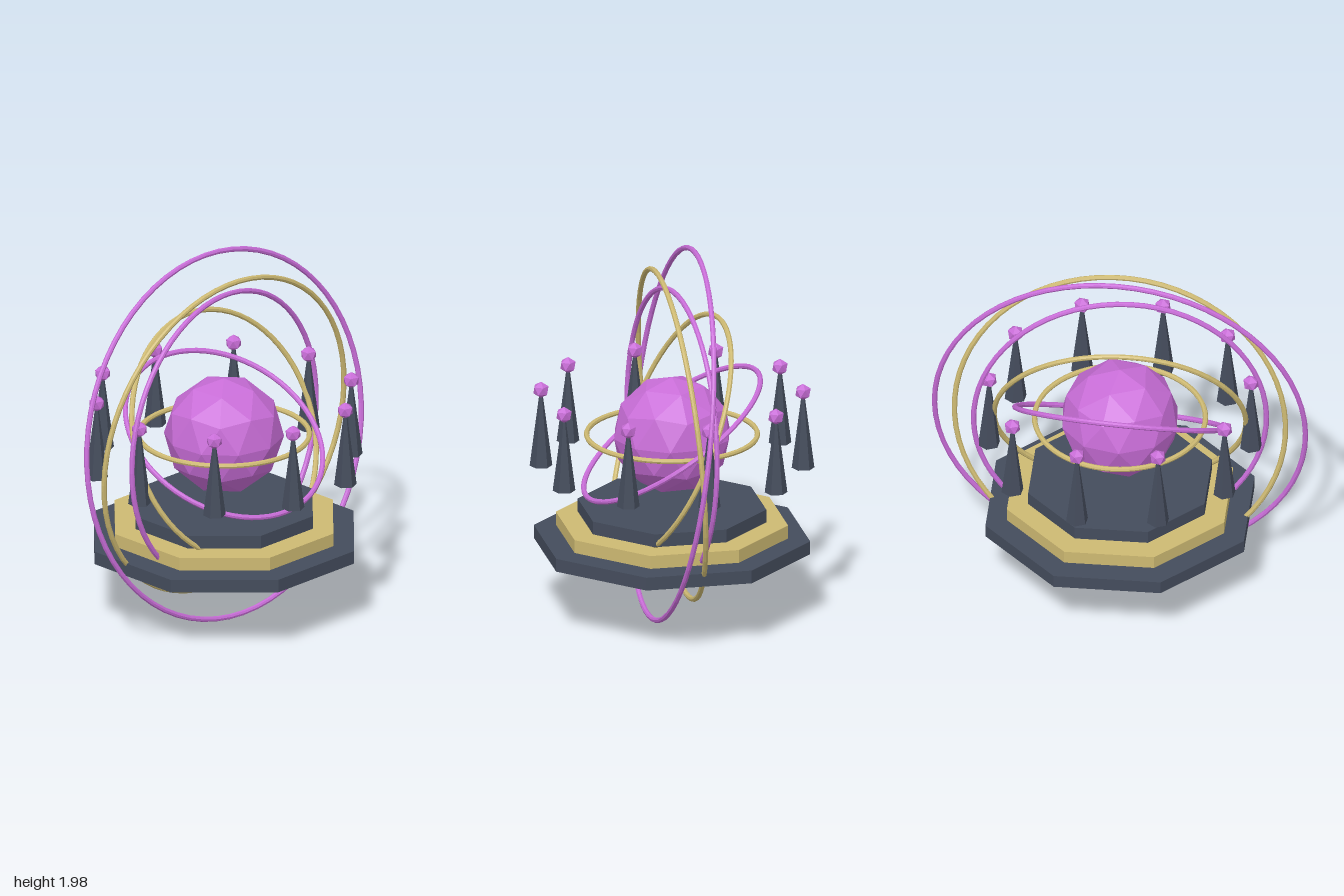
import * as THREE from 'three';

const mat = (color) => new THREE.MeshStandardMaterial({ color, flatShading: true });

// Icosphere with a corner at each pole
function icosphere(radius, detail) {
  const g = new THREE.IcosahedronGeometry(radius, detail);
  g.rotateX(-Math.atan((1 + Math.sqrt(5)) / 2));
  g.rotateY(Math.PI / 2);
  return g;
}

export function createModel() {
  const model = new THREE.Group();
  const purple = mat(0xc86dd7);
  const gold = mat(0xcdb972);
  const dark = mat(0x444c5c);

  const add = (name, geometry, material, x, y, z) => {
    const mesh = new THREE.Mesh(geometry, material);
    mesh.name = name;
    mesh.position.set(x, y, z);
    model.add(mesh);
    return mesh;
  };

  // Stepped octagonal platform
  [0.74, 0.622, 0.505].forEach((r, i) => {
    const step = new THREE.CylinderGeometry(r, r, 0.071, 8);
    add('platformStep' + (i + 1), step, i === 1 ? gold : dark, 0, 0.413 + i * 0.081, 0);
  });

  // Faceted core
  add('core', icosphere(0.317, 1), purple, 0, 1, 0);

  // Concentric tilted rings, each given by the normal of its plane
  const normals = [
    [0, 1, 0],
    [0.49, 0.83, 0.255],
    [0.861, 0.405, 0.305],
    [0.957, 0.035, 0.287],
    [0.914, -0.075, 0.4],
    [0.902, 0.143, 0.41],
  ];
  const zAxis = new THREE.Vector3(0, 0, 1);
  normals.forEach((n, i) => {
    const torus = new THREE.TorusGeometry(0.45 + i * 0.107, 0.0142, 8, 64);
    const ring = add('ring' + (i + 1), torus, i % 2 ? purple : gold, 0, 1, 0);
    ring.quaternion.setFromUnitVectors(zAxis, new THREE.Vector3(...n).normalize());
  });

  // Circle of floating spires tipped with gems
  const spire = new THREE.CylinderGeometry(0.011, 0.06, 0.38, 6);
  const gem = icosphere(0.045, 0);
  for (let i = 0; i < 10; i++) {
    const a = (i / 10) * Math.PI * 2;
    const x = 0.69 * Math.cos(a);
    const z = 0.69 * Math.sin(a);
    add('spire' + (i + 1), spire, dark, x, 1.01, z);
    add('spireGem' + (i + 1), gem, purple, x, 1.24, z);
  }

  return model;
}
